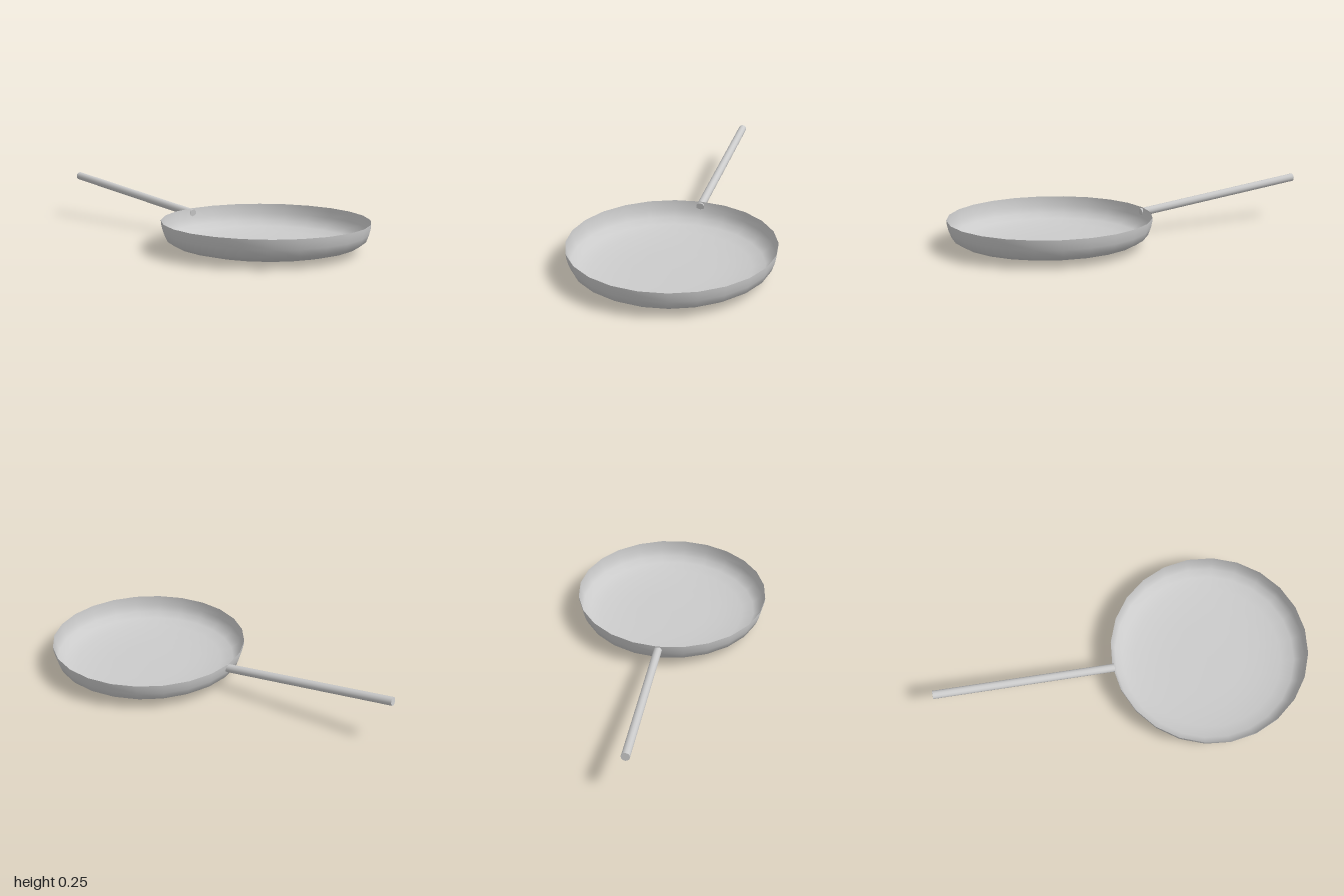
import * as THREE from 'three';

export function createModel() {
  const group = new THREE.Group();
  const material = new THREE.MeshStandardMaterial({ color: 0xcccccc, side: THREE.DoubleSide });

  // Thin round bowl of the pan, 24 sides, with a gently domed base
  const profile = [
    [0, 0], [0.2, 0.002], [0.3, 0.007], [0.4, 0.017], [0.465, 0.034],
    [0.502, 0.058], [0.516, 0.095], [0.523, 0.125], [0.525, 0.146],
  ].map(([r, y]) => new THREE.Vector2(r, y));
  const pan = new THREE.Mesh(new THREE.LatheGeometry(profile, 24), material);
  pan.name = 'panBody';
  pan.position.x = 0.473;
  group.add(pan);

  // Straight round handle rising away from the rim
  const inner = new THREE.Vector3(-0.043, 0.119, 0);
  const outer = new THREE.Vector3(-0.997, 0.233, 0);
  const axis = outer.clone().sub(inner);
  const handle = new THREE.Mesh(new THREE.CylinderGeometry(0.022, 0.022, axis.length(), 12), material);
  handle.name = 'handle';
  handle.position.copy(inner).add(outer).multiplyScalar(0.5);
  handle.quaternion.setFromUnitVectors(new THREE.Vector3(0, 1, 0), axis.normalize());
  group.add(handle);

  return group;
}
